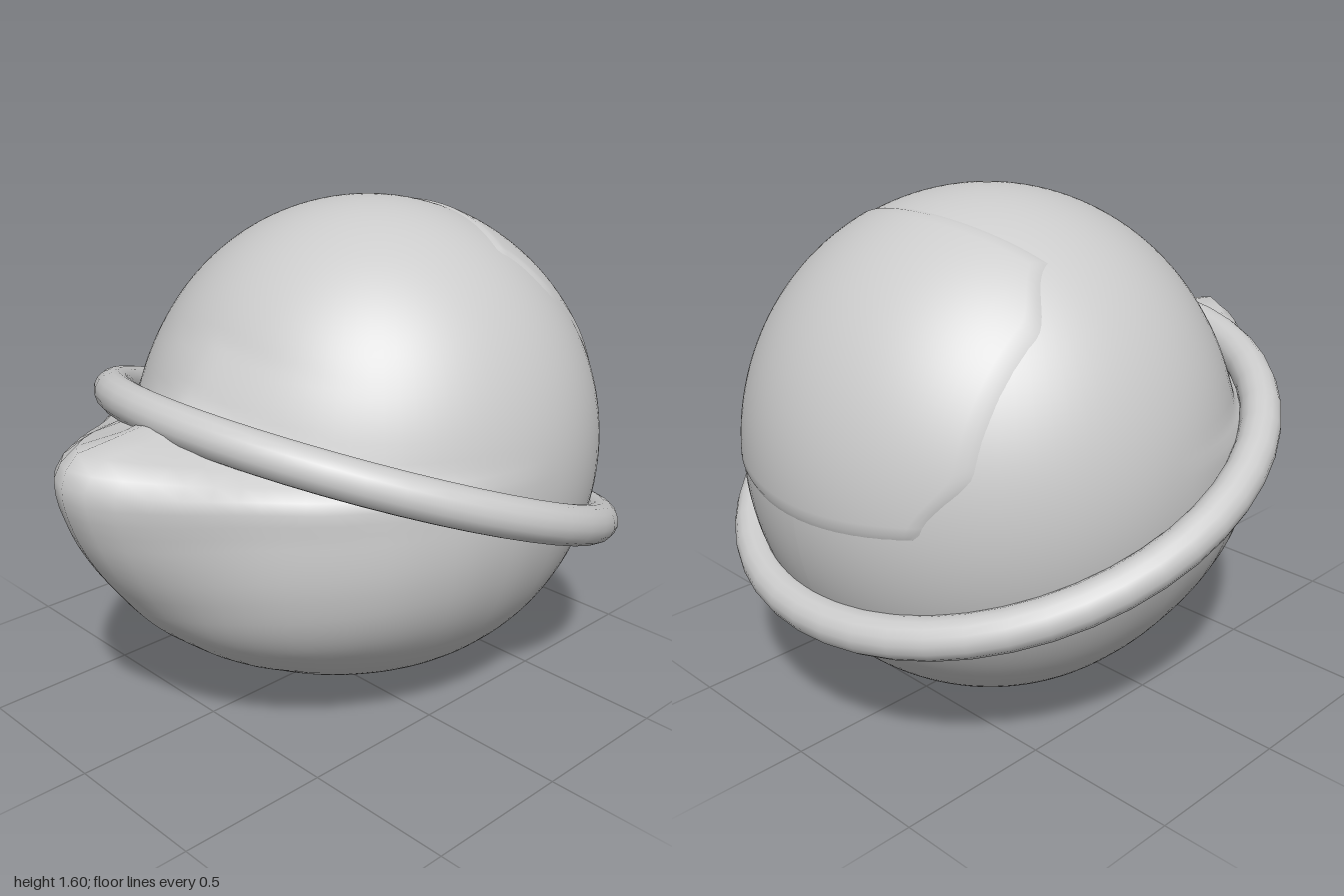
import * as THREE from 'three';

const RX = 0.78, RY = 0.8, RZ = 0.768, CY = 0.8, CZ = -0.2;
const DEG = Math.PI / 180;
const { lerp, clamp, smoothstep } = THREE.MathUtils;

// linear lookup in a short list of [key, value] pairs
function lookup(table, k) {
  if (k <= table[0][0]) return table[0][1];
  for (let i = 1; i < table.length; i++) {
    const [k0, v0] = table[i - 1], [k1, v1] = table[i];
    if (k <= k1) return lerp(v0, v1, (k - k0) / (k1 - k0));
  }
  return table[table.length - 1][1];
}

// how far the spout stands out, by elevation (degrees)
const RISE = [[-90, 0], [-75, 0.008], [-61, 0.033], [-46, 0.088], [-32, 0.168], [-15, 0.282], [-3.5, 0.382],
  [3.8, 0.436], [8, 0.445], [11.4, 0.395], [13.1, 0.31], [14.6, 0.16], [17.3, 0.07], [22, 0.035], [36, 0]];
// its share by azimuth: pointed at the lip, full and round underneath
const LIP = [[0, 1], [2.5, 0.98], [6.7, 0.88], [13, 0.67], [21, 0.44], [28, 0.31], [45, 0.14], [60, 0.06], [75, 0.02], [90, 0]];
const BOWL = [[0, 1], [8, 0.97], [15, 0.9], [30, 0.67], [45, 0.41], [60, 0.2], [75, 0.06], [90, 0]];

// round body pulled out into a spout at the front
function bodyGeometry() {
  const geo = new THREE.SphereGeometry(1, 96, 80);
  geo.rotateY(-Math.PI / 2);
  const pos = geo.attributes.position, d = new THREE.Vector3();
  for (let i = 0; i < pos.count; i++) {
    d.fromBufferAttribute(pos, i).normalize();
    const elev = Math.asin(clamp(d.y, -1, 1)) / DEG;
    const az = Math.atan2(Math.abs(d.x), d.z) / DEG;
    const share = lerp(lookup(LIP, az), lookup(BOWL, az), smoothstep(-elev, -5, 32));
    const droop = elev > 0 ? Math.min(az, 40) * 0.15 * Math.min(elev / 10, 1) : 0;
    const r = 1 / Math.hypot(d.x / RX, d.y / RY, d.z / RZ) + lookup(RISE, elev + droop) * share;
    pos.setXYZ(i, d.x * r, d.y * r + CY, d.z * r + CZ);
  }
  geo.computeVertexNormals();
  return geo;
}

// thin eight-sided panel curved over the back, its rim sunk into the body
function panelGeometry() {
  const n = 40, geo = new THREE.PlaneGeometry(2, 2, n, n);
  const pos = geo.attributes.position;
  for (let i = 0; i < pos.count; i++) {
    const u = pos.getX(i), v = pos.getY(i);
    const rim = Math.max(Math.abs(u), Math.abs(v)) > 0.999;
    const top = 72 + 5 * u * u, bottom = -3 + 2 * u * u;
    const angle = lerp(bottom, top, (v + 1) / 2) * DEG;
    const half = 0.525 - 0.11 * smoothstep(Math.abs(v), 0.5, 1);
    const sx = -u * half / RX, ring = Math.sqrt(1 - sx * sx);
    const s = rim ? 0.995 : 1.008;
    pos.setXYZ(i, sx * RX * s, CY + RY * ring * Math.sin(angle) * s, CZ - RZ * ring * Math.cos(angle) * s);
  }
  geo.computeVertexNormals();
  return geo;
}

export function createModel() {
  const group = new THREE.Group();
  const material = new THREE.MeshStandardMaterial({ color: 0xcccccc });
  const add = (name, geo) => {
    const mesh = new THREE.Mesh(geo, material);
    mesh.name = name;
    group.add(mesh);
    return mesh;
  };

  add('body', bodyGeometry());
  add('backPanel', panelGeometry());

  // tilted hoop, higher at the front
  const hoop = add('hoop', new THREE.TorusGeometry(0.838, 0.064, 16, 48));
  hoop.position.set(0, 0.75, -0.149);
  hoop.rotation.x = Math.PI / 2 - 0.365;
  return group;
}
